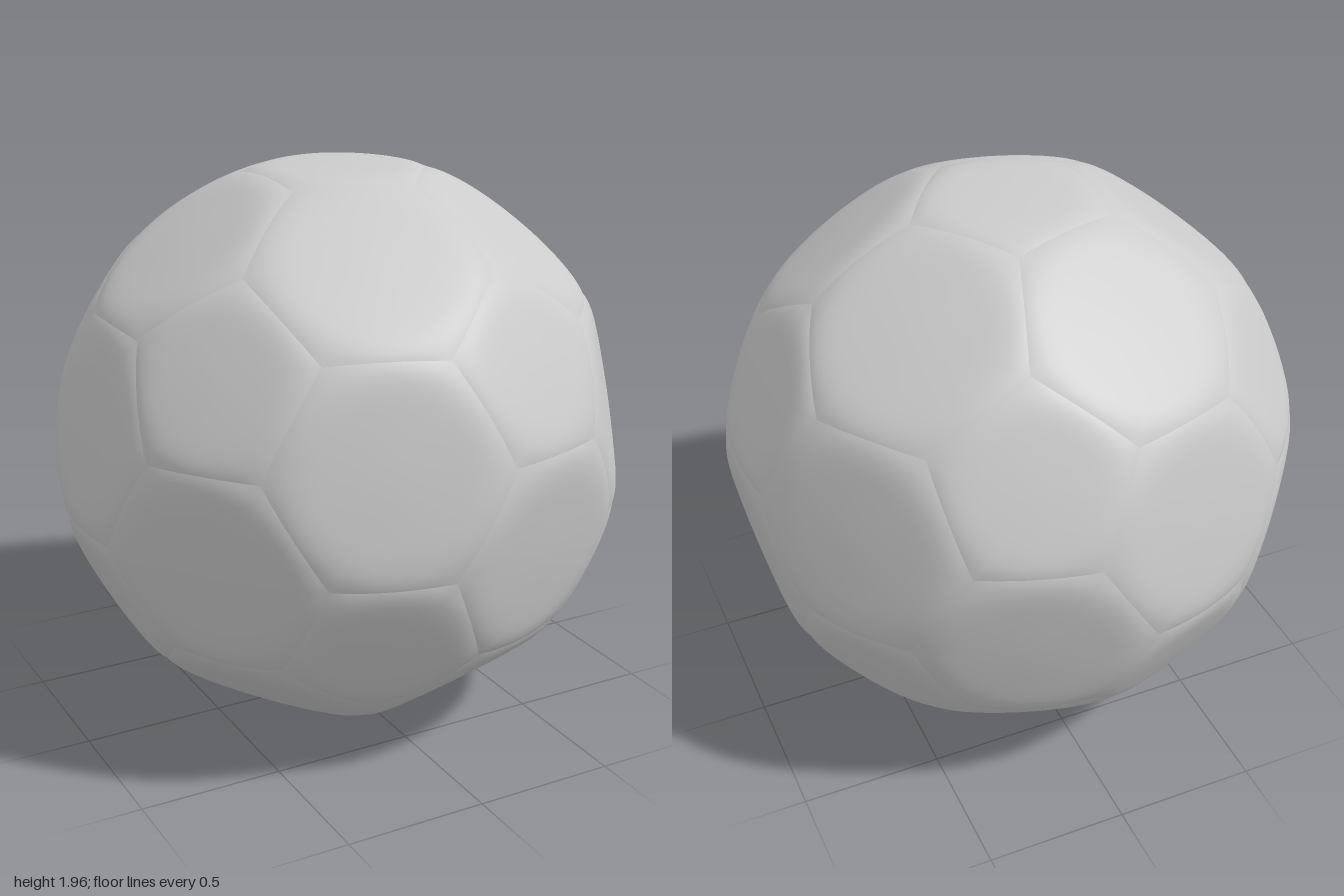
import * as THREE from 'three';

const SIDE_STEPS = 10; // points along one seam edge
const RINGS = 14;      // rings from panel centre to seam
const material = new THREE.MeshStandardMaterial({ color: 0xcccccc });

// Icosahedron directions: two poles and two staggered rings of five
function icosahedronDirections() {
  const dirs = [new THREE.Vector3(0, 1, 0), new THREE.Vector3(0, -1, 0)];
  const lat = Math.atan(0.5);
  for (let k = 0; k < 5; k++) {
    for (const [sign, turn] of [[1, 0], [-1, Math.PI / 5]]) {
      const a = k * Math.PI * 0.4 + turn;
      dirs.push(new THREE.Vector3(
        Math.cos(lat) * Math.cos(a), sign * Math.sin(lat), Math.cos(lat) * Math.sin(a)));
    }
  }
  return dirs;
}

// Point one third of the way from a to b, on the unit sphere
const third = (a, b) => a.clone().multiplyScalar(2).add(b).normalize();

// Order corners counter-clockwise about the outward axis
function sortAround(axis, corners) {
  const u = corners[0].clone().addScaledVector(axis, -corners[0].dot(axis)).normalize();
  const v = axis.clone().cross(u);
  const angle = (p) => Math.atan2(p.dot(v), p.dot(u));
  return corners.slice().sort((p, q) => angle(p) - angle(q));
}

// A pillow panel: nearly flat middle, rim rolling down into the seams
function panelGeometry(axis, corners, centreRadius) {
  const n = corners.length;
  const seams = corners.map((c, i) => c.clone().cross(corners[(i + 1) % n]).normalize());
  const depth = seams[0].dot(axis);

  const place = (dir) => {
    const middle = centreRadius / Math.pow(dir.dot(axis), 0.7);
    let puff = 1;
    for (const s of seams) {
      const near = THREE.MathUtils.clamp(1 - s.dot(dir) / depth, 0, 1);
      puff *= 1 - near ** 5;
    }
    return dir.multiplyScalar(1 + (middle - 1) * puff);
  };

  const around = n * SIDE_STEPS;
  const positions = [...place(axis.clone())];
  const index = [];
  for (let r = 1; r <= RINGS; r++) {
    const t = 1 - Math.pow(1 - r / RINGS, 1.5);
    for (let i = 0; i < around; i++) {
      const e = Math.floor(i / SIDE_STEPS);
      const rim = corners[e].clone()
        .lerp(corners[(e + 1) % n], (i % SIDE_STEPS) / SIDE_STEPS).normalize();
      positions.push(...place(axis.clone().lerp(rim, t).normalize()));
      const j = (i + 1) % around;
      const outer = 1 + (r - 1) * around;
      const inner = outer - around;
      if (r === 1) index.push(0, outer + i, outer + j);
      else index.push(inner + i, outer + i, outer + j, inner + i, outer + j, inner + j);
    }
  }
  const geometry = new THREE.BufferGeometry();
  geometry.setAttribute('position', new THREE.Float32BufferAttribute(positions, 3));
  geometry.setIndex(index);
  geometry.computeVertexNormals();
  return geometry;
}

export function createModel() {
  const ball = new THREE.Group();
  ball.name = 'ball';
  const dirs = icosahedronDirections();
  const adjacent = (a, b) => a !== b && a.dot(b) > 0.4;

  const addPanel = (name, axis, corners, radius) => {
    const mesh = new THREE.Mesh(panelGeometry(axis, sortAround(axis, corners), radius), material);
    mesh.name = name;
    ball.add(mesh);
  };

  // Twelve pentagon panels
  for (const a of dirs) {
    const corners = dirs.filter((b) => adjacent(a, b)).map((b) => third(a, b));
    addPanel('pentagonPanel', a, corners, 0.982);
  }

  // Twenty hexagon panels
  for (let i = 0; i < 12; i++) for (let j = i + 1; j < 12; j++) for (let k = j + 1; k < 12; k++) {
    const [a, b, c] = [dirs[i], dirs[j], dirs[k]];
    if (!adjacent(a, b) || !adjacent(b, c) || !adjacent(a, c)) continue;
    const axis = a.clone().add(b).add(c).normalize();
    const corners = [[a, b], [b, a], [b, c], [c, b], [c, a], [a, c]].map(([p, q]) => third(p, q));
    addPanel('hexagonPanel', axis, corners, 0.965);
  }

  ball.position.y = 0.982;
  const model = new THREE.Group();
  model.add(ball);
  return model;
}
